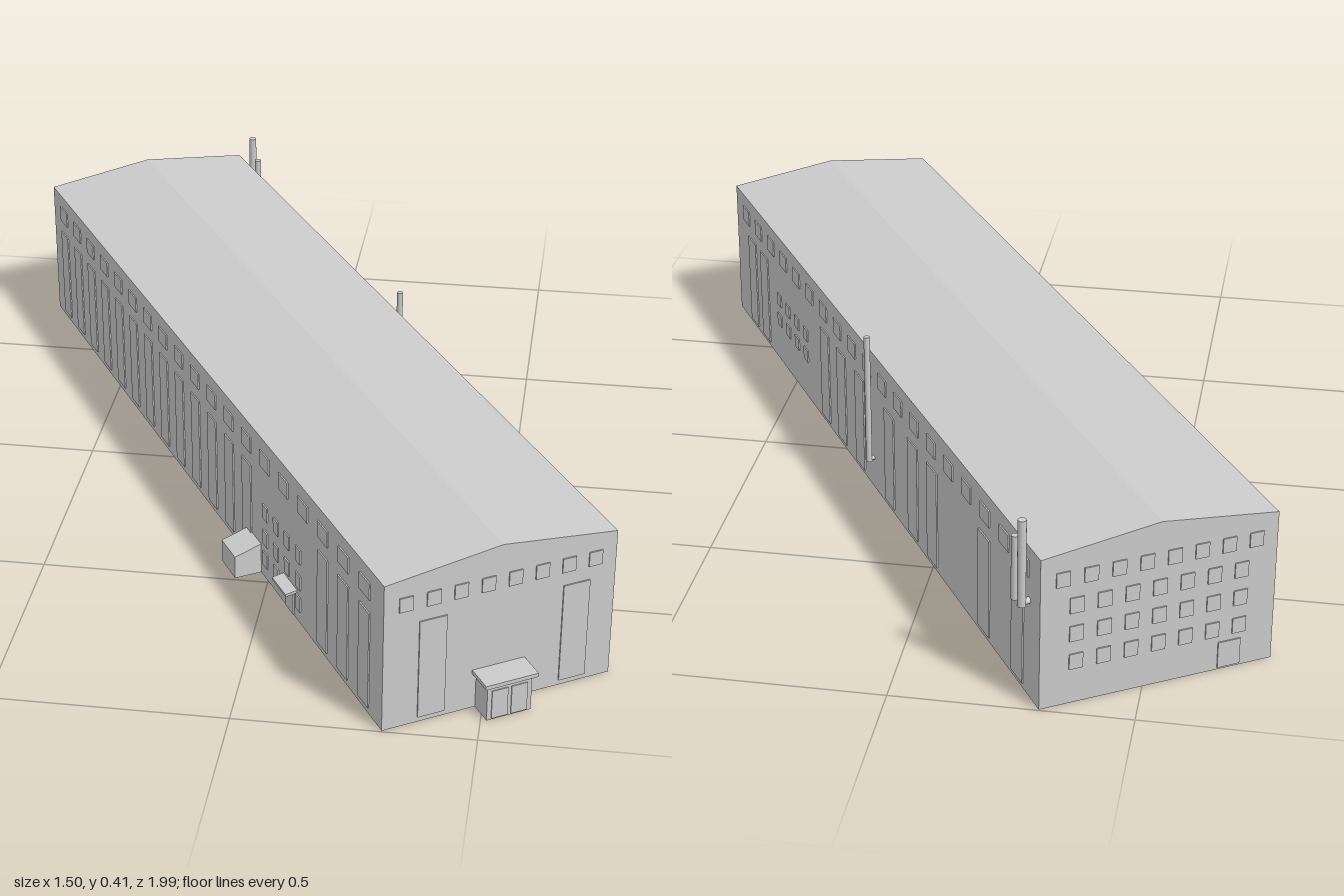
import * as THREE from 'three';

const W = 0.258, L = 1.011, EAVE = 0.344, RIDGE = 0.376, RELIEF = 0.003;
const grey = new THREE.MeshStandardMaterial({ color: 0xcccccc });

export function createModel() {
  const model = new THREE.Group();
  // The hall stands diagonally on the ground; parts are laid out along its own axes
  const hall = new THREE.Group();
  hall.name = 'hall';
  hall.rotation.y = 0.549;
  model.add(hall);

  const add = (name, geometry, x = 0, y = 0, z = 0) => {
    const mesh = new THREE.Mesh(geometry, grey);
    mesh.name = name;
    mesh.position.set(x, y, z);
    hall.add(mesh);
    return mesh;
  };
  // Box given by its limits
  const box = (name, x0, x1, y0, y1, z0, z1) =>
    add(name, new THREE.BoxGeometry(x1 - x0, y1 - y0, z1 - z0), (x0 + x1) / 2, (y0 + y1) / 2, (z0 + z1) / 2);
  // Cross-section in x, y drawn out along z
  const prism = (name, points, z0, z1) =>
    add(name, new THREE.ExtrudeGeometry(
      new THREE.Shape(points.map(p => new THREE.Vector2(...p))), { depth: z1 - z0, bevelEnabled: false }), 0, 0, z0);

  // Shallow panels on the long walls and the end walls
  const sidePanel = (name, side, z, width, y0, y1) =>
    add(name, new THREE.BoxGeometry(RELIEF * 2, y1 - y0, width), side * W, (y0 + y1) / 2, z);
  const endPanel = (name, end, x, width, y0, y1) =>
    add(name, new THREE.BoxGeometry(width, y1 - y0, RELIEF * 2), x, (y0 + y1) / 2, end * L);

  // Main body with low gable roof
  prism('building', [[-W, 0], [W, 0], [W, EAVE], [0, RIDGE], [-W, EAVE]], -L, L);

  // Upper window band on both long walls
  for (const side of [-1, 1]) {
    for (let i = 0; i < 19; i++) sidePanel('upperWindow', side, -0.93 + i * 0.103, 0.05, 0.275, 0.313);
  }

  // Tall bays on the left-hand long wall, leaving room for the small windows
  for (let i = 0; i < 19; i++) {
    const z = -0.93 + i * 0.103;
    if (z < 0.38 || z > 0.62) sidePanel('tallWindow', -1, z, 0.05, 0.015, 0.243);
  }
  for (let i = 0; i < 4; i++) {
    for (const y of [0.03, 0.085, 0.15]) sidePanel('smallWindow', -1, 0.41 + i * 0.06, 0.025, y, y + 0.035);
  }

  // Tall bays and gates on the other long wall
  for (const z of [-0.9, -0.72, -0.42, -0.3, -0.15, 0.05, 0.18, 0.3, 0.78, 0.88]) {
    sidePanel('tallWindow', 1, z, 0.06, 0.012, 0.243);
  }
  for (let i = 0; i < 4; i++) {
    for (const y of [0.1, 0.155]) sidePanel('smallWindow', 1, 0.45 + i * 0.07, 0.03, y, y + 0.03);
  }

  // End walls
  for (const end of [-1, 1]) {
    for (let i = 0; i < 8; i++) endPanel('endUpperWindow', end, -0.21 + i * 0.06, 0.03, 0.275, 0.308);
  }
  for (const x of [-0.15, 0.17]) endPanel('endTallPanel', 1, x, 0.06, 0.012, 0.243);
  for (let i = 0; i < 7; i++) {
    for (const y of [0.08, 0.145, 0.21]) endPanel('endSmallWindow', -1, -0.18 + i * 0.06, 0.03, y, y + 0.035);
  }
  endPanel('backDoor', -1, -0.16, 0.05, 0.005, 0.065);

  // Entrance porch with canopy and doors
  box('porch', -0.05, 0.05, 0, 0.083, L - 0.01, L + 0.052);
  box('porchCanopy', -0.059, 0.059, 0.083, 0.092, L - 0.01, L + 0.062);
  for (const x of [-0.022, 0.022]) box('porchDoor', x - 0.018, x + 0.018, 0.003, 0.07, L + 0.05, L + 0.054);

  // Lean-to and small canopy on the long wall
  prism('leanTo', [[-0.32, 0], [-W + 0.01, 0], [-W + 0.01, 0.076], [-0.32, 0.054]], 0.306, 0.383);
  prism('doorCanopy', [[-0.285, 0.064], [-W + 0.01, 0.069], [-W + 0.01, 0.076], [-0.285, 0.07]], 0.509, 0.583);
  sidePanel('sideDoor', -1, 0.546, 0.045, 0.003, 0.06);

  // Flue pipes, each joined to the wall by a short stub
  const flue = (x, z, radius, y0, y1) => {
    add('fluePipe', new THREE.CylinderGeometry(radius, radius, y1 - y0, 16), x, (y0 + y1) / 2, z);
    add('flueStub', new THREE.CylinderGeometry(radius * 0.8, radius * 0.8, x - W + 0.01, 12),
      (x + W - 0.01) / 2, y0 + radius, z).rotation.z = Math.PI / 2;
  };
  flue(0.275, -0.957, 0.009, 0.215, 0.41);
  flue(0.277, -0.927, 0.008, 0.215, 0.36);
  flue(0.27, -0.04, 0.007, 0.07, 0.386);

  return model;
}
